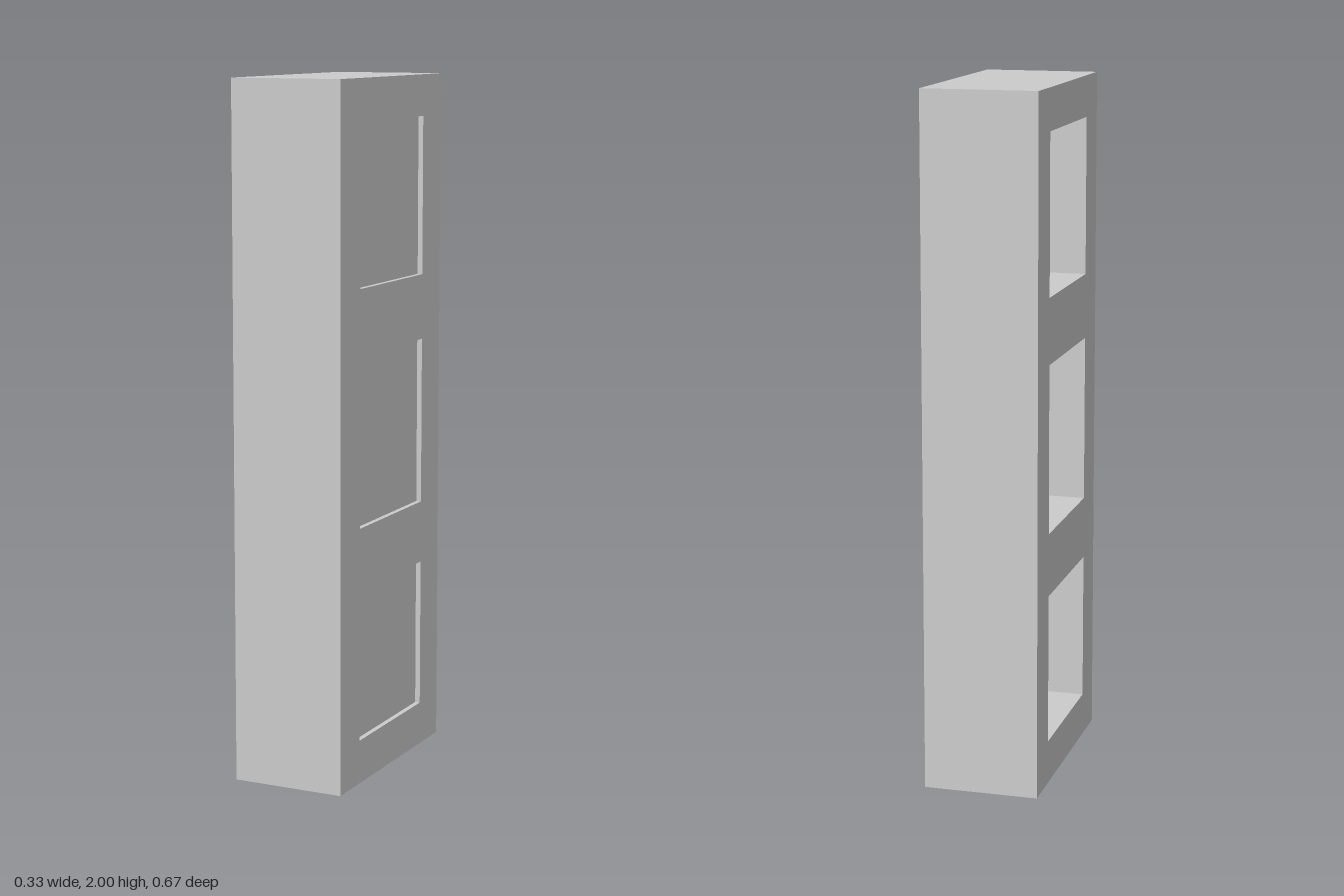
import * as THREE from 'three';

const WIDTH = 0.333, DEPTH = 0.667, HEIGHT = 2;
const OPENING_HALF = 0.209;
const PANEL_THICKNESS = 0.01, PANEL_RECESS = 0.015;
// bottom and top height of each compartment
const OPENINGS = [[0.127, 0.563], [0.746, 1.233], [1.423, 1.881]];

function rectangle(path, x0, y0, x1, y1) {
  path.moveTo(x0, y0);
  path.lineTo(x1, y0);
  path.lineTo(x1, y1);
  path.lineTo(x0, y1);
  path.closePath();
  return path;
}

export function createModel() {
  const model = new THREE.Group();
  model.name = 'shelfUnit';
  const material = new THREE.MeshStandardMaterial({ color: 0xcccccc });

  // Solid frame with three openings running through its width
  const outline = rectangle(new THREE.Shape(), -DEPTH / 2, 0, DEPTH / 2, HEIGHT);
  for (const [y0, y1] of OPENINGS) {
    outline.holes.push(rectangle(new THREE.Path(), -OPENING_HALF, y0, OPENING_HALF, y1));
  }
  const frameGeometry = new THREE.ExtrudeGeometry(outline, { depth: WIDTH, bevelEnabled: false });
  frameGeometry.translate(0, 0, -WIDTH / 2);
  frameGeometry.rotateY(Math.PI / 2);
  const frame = new THREE.Mesh(frameGeometry, material);
  frame.name = 'frame';
  model.add(frame);

  // Thin panels closing each compartment, set just inside the +x face
  OPENINGS.forEach(([y0, y1], i) => {
    const panel = new THREE.Mesh(
      new THREE.BoxGeometry(PANEL_THICKNESS, y1 - y0, OPENING_HALF * 2), material);
    panel.position.set(WIDTH / 2 - PANEL_RECESS - PANEL_THICKNESS / 2, (y0 + y1) / 2, 0);
    panel.name = `backPanel${i + 1}`;
    model.add(panel);
  });

  return model;
}
